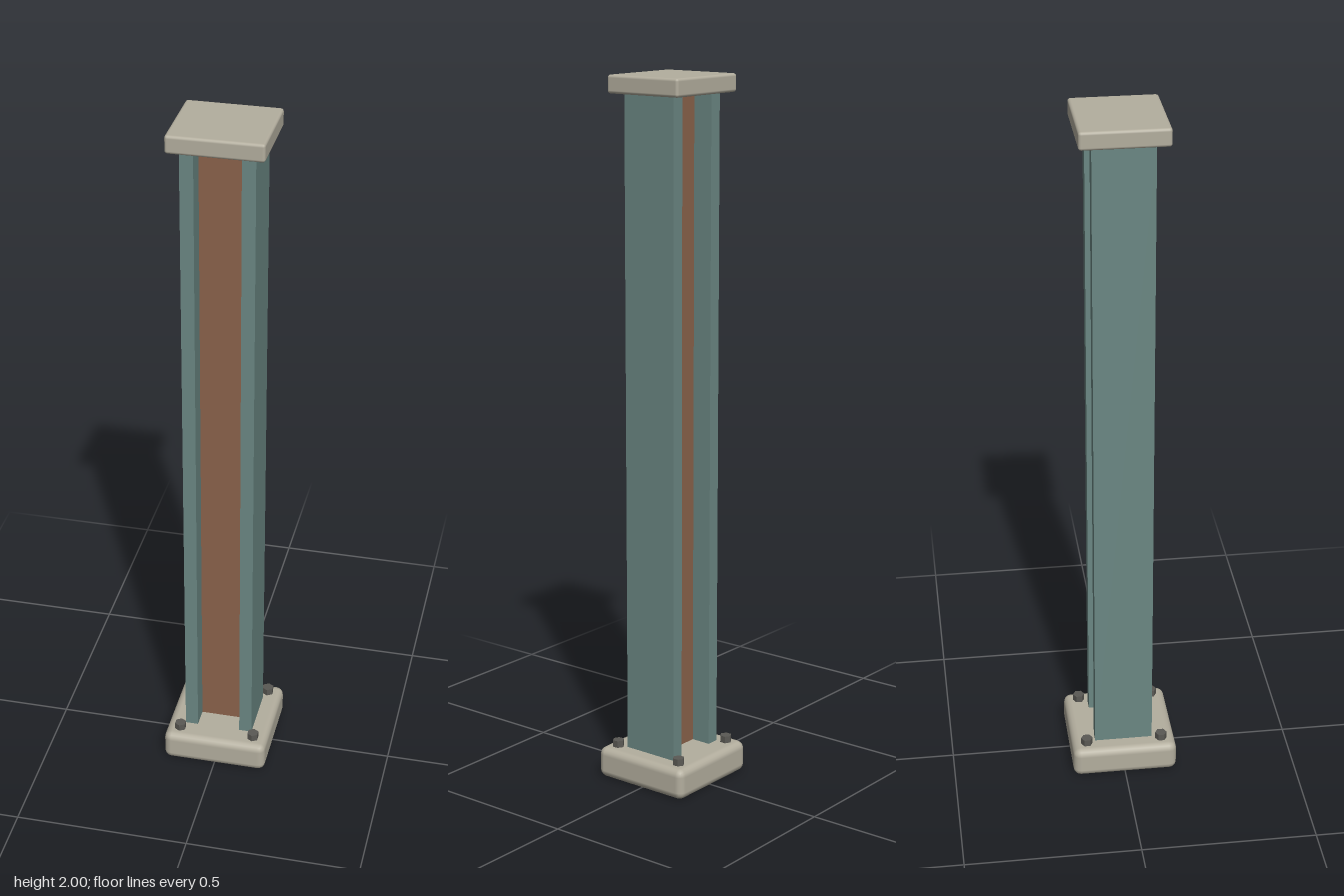
import * as THREE from 'three';
import { RoundedBoxGeometry } from 'three/addons/geometries/RoundedBoxGeometry.js';

export function createModel() {
  const column = new THREE.Group();
  column.name = 'steelColumn';

  const material = (name, color) => {
    const m = new THREE.MeshStandardMaterial({ color });
    m.name = name;
    return m;
  };
  const stone = material('stone', 0xb3ae9e);
  const paint = material('tealPaint', 0x6b8783);
  const rust = material('rustBrown', 0x8a624b);
  const iron = material('darkIron', 0x5a5954);

  const add = (name, geometry, mat, x, y, z) => {
    const mesh = new THREE.Mesh(geometry, mat);
    mesh.name = name;
    mesh.position.set(x, y, z);
    column.add(mesh);
    return mesh;
  };

  // Rounded footing and cap plate
  const baseTop = 0.09, capBottom = 1.95;
  add('base', new RoundedBoxGeometry(0.305, baseTop, 0.305, 2, 0.022), stone, 0, baseTop / 2, 0);
  add('cap', new RoundedBoxGeometry(0.26, 0.05, 0.24, 2, 0.008), stone, 0, 1.975, 0);

  // H-section shaft, sunk slightly into footing and cap
  const bottom = baseTop - 0.01, top = capBottom + 0.01;
  const height = top - bottom, middle = (top + bottom) / 2;
  add('web', new THREE.BoxGeometry(0.126, height, 0.052), rust, 0, middle, 0);
  for (const side of [-1, 1]) {
    add(side > 0 ? 'leftFlange' : 'rightFlange',
      new THREE.BoxGeometry(0.037, height, 0.168), paint, side * 0.0815, middle, 0);
  }

  // Hexagonal anchor bolts in the footing corners
  const bolt = new THREE.CylinderGeometry(0.017, 0.017, 0.04, 6).toNonIndexed();
  bolt.computeVertexNormals();
  for (const x of [-0.11, 0.11]) {
    for (const z of [-0.11, 0.11]) add('anchorBolt', bolt, iron, x, 0.09, z);
  }

  return column;
}
